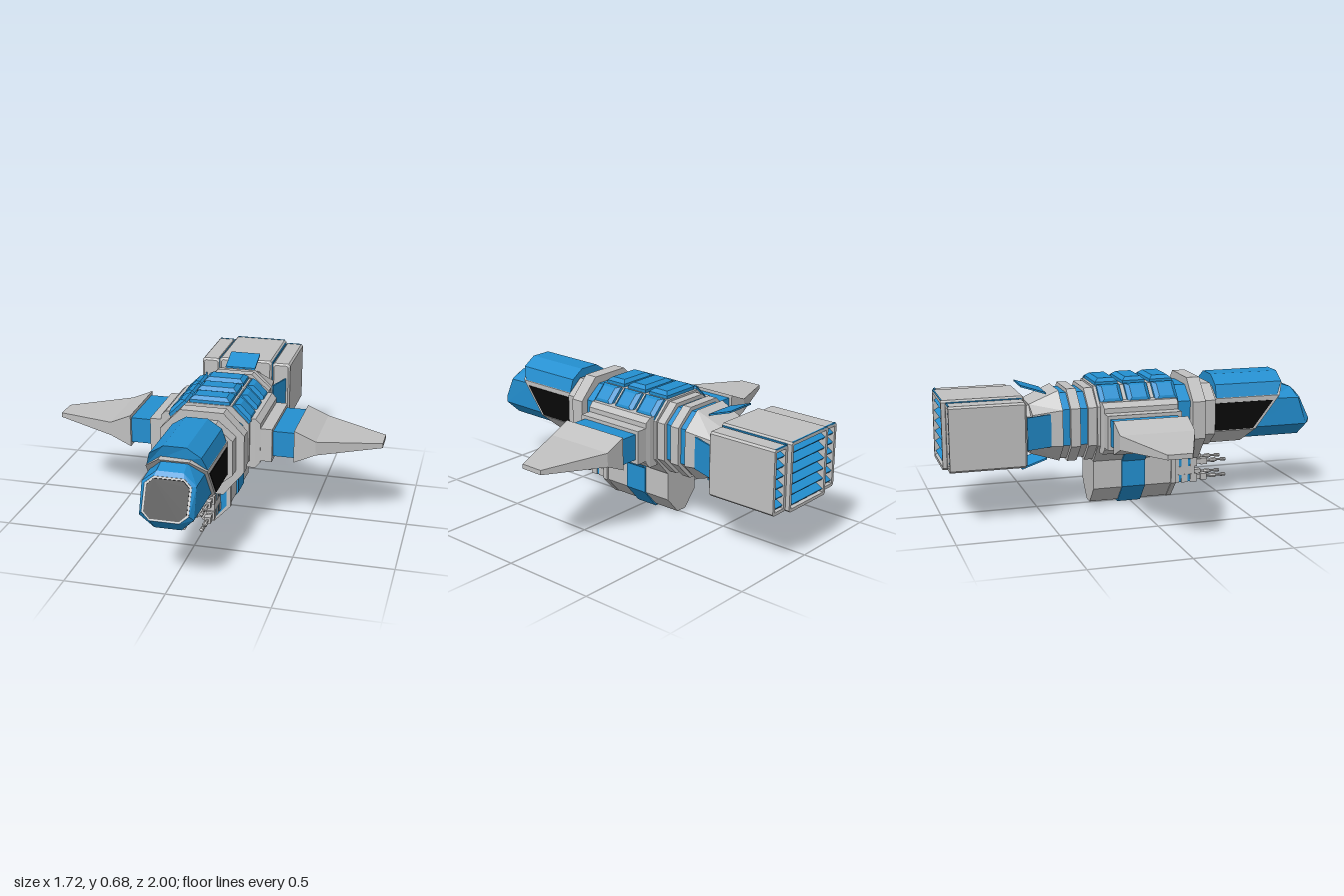
import * as THREE from 'three';

const mat = (name, color) => {
  const m = new THREE.MeshStandardMaterial({ color });
  m.name = name;
  return m;
};

export function createModel() {
  const model = new THREE.Group();
  model.name = 'spacecraft';
  const grey = mat('hull grey', 0xc0c0c0);
  const blue = mat('panel blue', 0x238fd0);
  const black = mat('window black', 0x080808);

  const add = (name, geo, material, parent = model) => {
    const mesh = new THREE.Mesh(geo, material);
    mesh.name = name;
    parent.add(mesh);
    return mesh;
  };

  // Flat-faced solid through convex rings of [x,y,z]; faces listed in 'second' use material 1
  function loft(rings, second = []) {
    const tris = [];
    const n = rings[0].length;
    for (let r = 0; r + 1 < rings.length; r++) {
      for (let i = 0; i < n; i++) {
        const j = (i + 1) % n, m = second.includes(i) ? 1 : 0;
        const [a, b, c, d] = [rings[r][i], rings[r][j], rings[r + 1][j], rings[r + 1][i]];
        tris.push([a, b, c, m], [a, c, d, m]);
      }
    }
    const last = rings[rings.length - 1];
    for (let i = 1; i + 1 < n; i++) {
      tris.push([rings[0][0], rings[0][i + 1], rings[0][i], 0], [last[0], last[i], last[i + 1], 0]);
    }
    // The signed volume tells whether the corners must be turned round
    const o = new THREE.Vector3(...rings[0][0]);
    const v = p => new THREE.Vector3(...p).sub(o);
    const volume = tris.reduce((s, t) => s + v(t[0]).dot(v(t[1]).cross(v(t[2]))), 0);
    const geo = new THREE.BufferGeometry();
    const pos = tris.flatMap(([a, b, c]) => (volume < 0 ? [a, c, b] : [a, b, c]).flat());
    geo.setAttribute('position', new THREE.Float32BufferAttribute(pos, 3));
    geo.computeVertexNormals();
    if (second.length) tris.forEach((t, i) => geo.addGroup(i * 3, 3, t[3]));
    return geo;
  }

  const box = (name, x0, x1, y0, y1, z0, z1, material, parent) => {
    const g = new THREE.BoxGeometry(x1 - x0, y1 - y0, z1 - z0);
    g.translate((x0 + x1) / 2, (y0 + y1) / 2, (z0 + z1) / 2);
    return add(name, g, material, parent);
  };

  // Octagon: half widths of side, top, bottom; heights from bottom to top; z as number or rule of y
  const oct = (w, t, b, [yb, yl, yh, yt], z) =>
    [[-t, yt], [t, yt], [w, yh], [w, yl], [b, yb], [-b, yb], [-w, yl], [-w, yh]]
      .map(([x, y]) => [x, y, typeof z === 'function' ? z(y) : z]);
  const LOWER = [3, 4, 5];

  // Fuselage rings: name, z from, z to, half width, top half width, heights, upper colour
  [
    ['frontCollar', 0.42, 0.34, 0.175, 0.085, [0.29, 0.365, 0.545, 0.62], grey],
    ['mainCollar', 0.35, 0.28, 0.216, 0.11, [0.225, 0.355, 0.55, 0.66], grey],
    ['frontBand', 0.28, 0.2, 0.175, 0.085, [0.27, 0.355, 0.55, 0.62], blue],
    ['midBody', 0.205, -0.225, 0.206, 0.115, [0.25, 0.353, 0.555, 0.645], grey],
    ['rearRing', -0.225, -0.27, 0.195, 0.1, [0.26, 0.355, 0.55, 0.635], grey],
    ['rearBand', -0.265, -0.32, 0.175, 0.09, [0.275, 0.36, 0.545, 0.615], blue],
    ['rearRing', -0.31, -0.36, 0.195, 0.1, [0.26, 0.355, 0.55, 0.635], grey],
    ['rearBand', -0.355, -0.41, 0.175, 0.09, [0.275, 0.36, 0.545, 0.615], blue],
  ].forEach(([name, z0, z1, w, t, h, m]) =>
    add(name, loft([oct(w, t, t, h, z0), oct(w, t, t, h, z1)], LOWER), [m, grey]));
  add('tailTaper', loft([
    oct(0.193, 0.1, 0.1, [0.265, 0.36, 0.545, 0.63], -0.4),
    oct(0.172, 0.085, 0.085, [0.31, 0.37, 0.525, 0.565], -0.55)]), grey);
  add('tailNeck', loft([-0.54, -0.6].map(z => oct(0.13, 0.08, 0.08, [0.32, 0.38, 0.51, 0.56], z))), grey);

  // Cockpit with a slanted front edge
  const slant = y => 0.605 + (y - 0.3) * 0.77;
  const cabin = [0.295, 0.37, 0.545, 0.6];
  add('cockpit', loft([oct(0.148, 0.075, 0.075, cabin, slant), oct(0.148, 0.075, 0.075, cabin, 0.41)]), grey);
  const hood = (zf) => [[-0.147, 0.548], [-0.125, 0.615], [-0.055, 0.66], [0.055, 0.66], [0.125, 0.615], [0.147, 0.548]]
    .map(([x, y]) => [x, y, zf(y)]);
  add('canopy', loft([hood(y => Math.min(slant(y) - 0.015, 0.81)), hood(() => 0.435)]), blue);
  for (const s of [1, -1]) {
    const pane = x => [[0.43, 0.375], [0.43, 0.52], [0.755, 0.52], [0.643, 0.375]].map(([z, y]) => [s * x, y, z]);
    add('sideWindow', loft([pane(0.146), pane(0.152)]), black);
  }

  // Nose, front frame and window
  const tip = y => 0.995 - (y - 0.37) * 0.48;
  const noseMid = oct(0.13, 0.065, 0.065, [0.308, 0.375, 0.52, 0.57], 0);
  const midZ = [0.89, 0.89, 0.91, 0.96, 0.94, 0.94, 0.96, 0.91];
  noseMid.forEach((p, i) => { p[2] = midZ[i]; });
  add('nose', loft([
    oct(0.132, 0.062, 0.065, [0.308, 0.375, 0.525, 0.595], y => slant(y) - 0.02),
    noseMid,
    oct(0.113, 0.07, 0.07, [0.367, 0.4, 0.52, 0.553], tip)]), blue);
  const plate = (w, t, h, d) => loft([-0.004, d].map(k => oct(w, t, t, h, y => tip(y) + k)));
  add('noseWindowFrame', plate(0.111, 0.072, [0.369, 0.4, 0.52, 0.551], 0.002), grey);
  add('noseWindow', plate(0.102, 0.07, [0.377, 0.405, 0.515, 0.543], 0.005), black);

  // Chamfered armour pads, three rows across the back
  const rect = (w, d, y) => [[-w, y, -d], [w, y, -d], [w, y, d], [-w, y, d]];
  const pad = (w, d, h) => loft([rect(w, d, -0.01), rect(w, d, h * 0.5), rect(w - 0.022, d - 0.02, h)]);
  for (const z of [0.14, -0.005, -0.15]) {
    add('topPad', pad(0.105, 0.06, 0.033), blue).position.set(0, 0.645, z);
    for (const s of [1, -1]) {
      const p = add('shoulderPad', pad(0.06, 0.06, 0.03), blue);
      p.position.set(s * 0.161, 0.6, z);
      p.rotation.z = -s * Math.PI / 4;
    }
  }

  // Wings with their mounts
  for (const s of [1, -1]) {
    const wing = new THREE.Group();
    wing.name = s > 0 ? 'leftWing' : 'rightWing';
    model.add(wing);
    const cut = (x, y0, y1, z0, z1) => [[y0, z0], [y1, z0], [y1, z1], [y0, z1]].map(([y, z]) => [s * x, y, z]);
    add('wingMount', loft([cut(0.18, 0.315, 0.58, -0.21, 0.185), cut(0.235, 0.315, 0.58, -0.21, 0.185),
      cut(0.26, 0.345, 0.555, -0.205, 0.183)]), grey, wing);
    add('wingRoot', loft([cut(0.25, 0.355, 0.53, -0.205, 0.182), cut(0.32, 0.355, 0.53, -0.205, 0.182)]), grey, wing);
    add('wingJoint', loft([cut(0.31, 0.378, 0.512, -0.19, 0.157), cut(0.44, 0.378, 0.512, -0.19, 0.157)]), blue, wing);
    add('wingBlade', loft([cut(0.43, 0.36, 0.53, -0.208, 0.175), cut(0.54, 0.41, 0.482, -0.208, 0.172),
      cut(0.86, 0.432, 0.456, -0.078, 0.045)]), grey, wing);
  }

  // Belly pod with blue belt
  const keel = (w, y0, yl, y1, z) =>
    [[-w, y1], [w, y1], [w, yl], [0.03, y0], [-0.03, y0], [-w, yl]].map(([x, y]) => [x, y, z]);
  add('bellyPod', loft([keel(0.108, 0.012, 0.1, 0.27, 0.205), keel(0.108, 0.012, 0.1, 0.27, -0.222)]), grey);
  add('podBelt', loft([keel(0.117, 0, 0.103, 0.26, 0.055), keel(0.117, 0, 0.103, 0.26, -0.07)]), blue);
  const belt = z => [[-0.212, 0.35], [0.212, 0.35], [0.118, 0.24], [-0.118, 0.24]].map(([x, y]) => [x, y, z]);
  add('bodyBelt', loft([belt(0.055), belt(-0.07)]), blue);
  add('podFrontFrame', loft([keel(0.117, 0.008, 0.1, 0.228, 0.226), keel(0.117, 0.008, 0.1, 0.228, 0.2)]), grey);
  add('podFrontPanel', loft([keel(0.096, 0.024, 0.105, 0.212, 0.231), keel(0.096, 0.024, 0.105, 0.212, 0.224)]), blue);

  // Four guns on a cross-shaped carrier
  box('gunCarrier', -0.022, 0.022, 0.085, 0.212, 0.22, 0.35, grey);
  box('gunCarrier', -0.065, 0.065, 0.125, 0.17, 0.22, 0.35, grey);
  for (const x of [-0.045, 0.045]) {
    for (const y of [0.105, 0.19]) {
      const gun = new THREE.Group();
      gun.name = 'gun';
      gun.position.set(x, y, 0);
      model.add(gun);
      [[0.22, 0.26, 0.022, grey], [0.26, 0.275, 0.019, blue], [0.275, 0.31, 0.022, grey], [0.31, 0.325, 0.019, blue],
        [0.325, 0.362, 0.022, grey], [0.36, 0.385, 0.012, grey], [0.385, 0.42, 0.017, grey]]
        .forEach(([z0, z1, r, m]) => box('gunBlock', -r, r, -r, r, z0, z1, m, gun));
      const barrel = [[0, 0.41], [0.008, 0.41], [0.008, 0.44], [0.013, 0.45], [0.013, 0.47], [0.006, 0.48],
        [0.006, 0.5], [0.01, 0.505], [0.01, 0.53], [0, 0.535]].map(p => new THREE.Vector2(...p));
      const geo = new THREE.LatheGeometry(barrel, 8).toNonIndexed();
      geo.computeVertexNormals();
      add('gunBarrel', geo, grey, gun).rotation.x = Math.PI / 2;
    }
  }

  // Engine blocks: chamfered hull, hollow rear frame and slanted louvres
  function engine(name, x, hw, y0, y1, zFront, zBack, slats) {
    const g = new THREE.Group();
    g.name = name;
    g.position.x = x;
    model.add(g);
    const zMid = zBack + 0.06, c = 0.01;
    const sec = z => oct(hw, hw - c, hw - c, [y0, y0 + c, y1 - c, y1], z);
    add('engineHull', loft([oct(hw - c, hw - 2 * c, hw - 2 * c, [y0 + c, y0 + 2 * c, y1 - 2 * c, y1 - c], zFront),
      sec(zFront - c), sec(zMid)]), grey, g);
    const f = 0.016;
    const shape = new THREE.Shape(sec(0).map(p => new THREE.Vector2(p[0], p[1])));
    shape.holes.push(new THREE.Path([[-hw + f, y0 + f], [hw - f, y0 + f], [hw - f, y1 - f], [-hw + f, y1 - f]]
      .map(p => new THREE.Vector2(...p))));
    const frame = new THREE.ExtrudeGeometry(shape, { depth: 0.06, bevelEnabled: false });
    frame.translate(0, 0, zBack);
    add('engineFrame', frame, grey, g);
    box('engineTrim', -hw + c, hw - c, y1 - 0.004, y1 + 0.002, zBack, zBack + 0.008, blue, g);
    box('engineCore', -hw + f, hw - f, y0 + f, y1 - f, zMid - 0.01, zMid - 0.002, blue, g);
    const step = (y1 - y0 - 2 * f) / slats;
    for (let i = 0; i < slats; i++) {
      const slat = add('louvre', new THREE.BoxGeometry(2 * (hw - f), 0.01, 0.05), blue, g);
      slat.position.set(0, y0 + f + step * (i + 0.5), zBack + 0.03);
      slat.rotation.x = -0.55;
    }
  }
  engine('mainEngine', 0, 0.15, 0.272, 0.622, -0.585, -1, 6);
  for (const s of [1, -1]) {
    engine('sideEngine', s * 0.203, 0.05, 0.28, 0.61, -0.595, -0.98, 6);
    box('engineSeam', s * 0.152 - 0.003, s * 0.152 + 0.003, 0.285, 0.613, -0.975, -0.6, blue);
  }

  // Four flared flaps round the tail
  for (let i = 0; i < 4; i++) {
    const upright = i % 2 === 0;
    const r = upright ? 0.165 : 0.18;
    const flap = (z, d) => [[-0.083, d], [0.083, d], [0.083, d + 0.009], [-0.083, d + 0.009]].map(([a, b]) => [a, b, z]);
    const mesh = add('tailFlap', loft([flap(-0.46, r), flap(-0.59, r + 0.044)]), blue);
    mesh.position.y = 0.445;
    mesh.rotation.z = i * Math.PI / 2;
  }
  return model;
}
